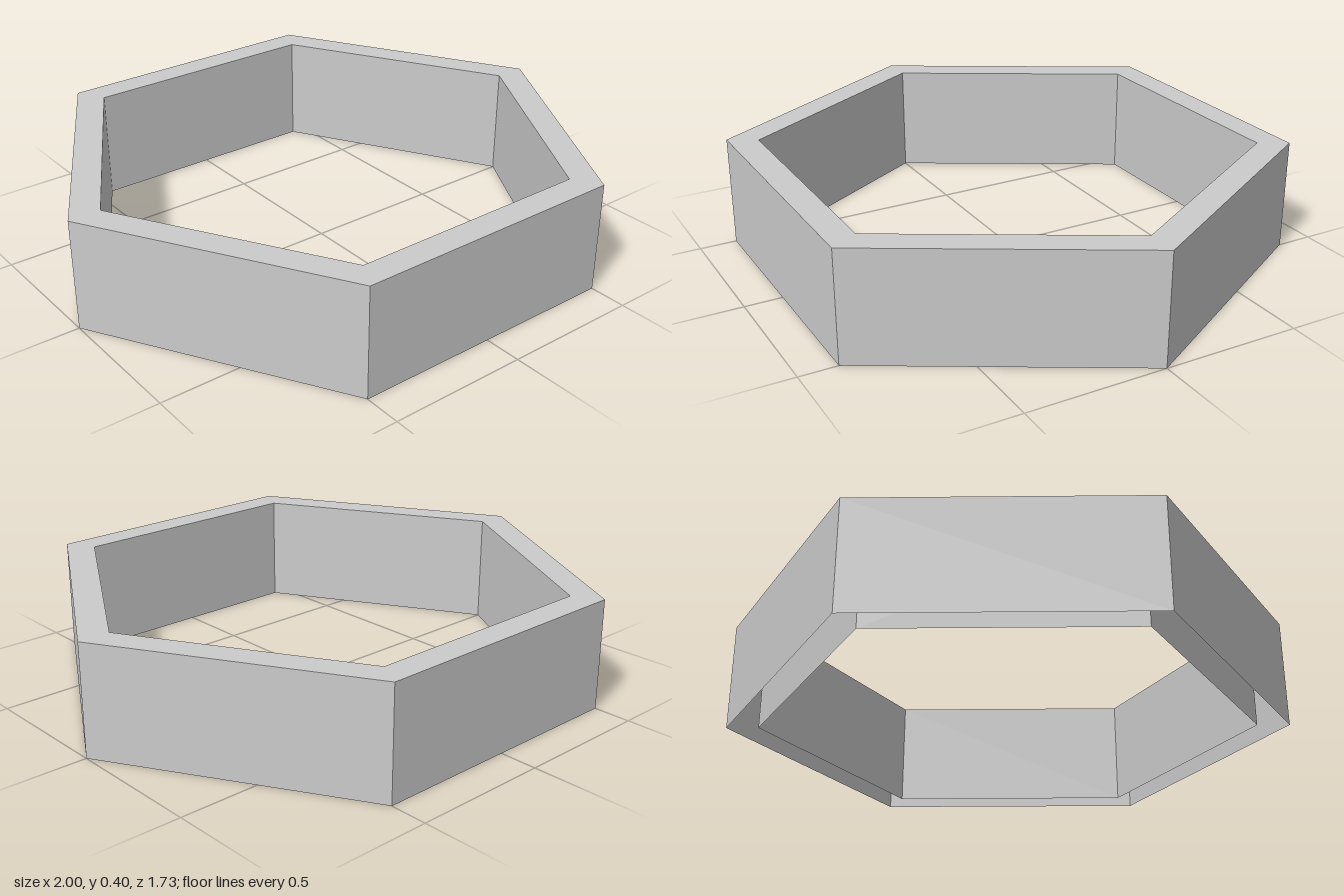
import * as THREE from 'three';

const OUTER = 1, INNER = 0.885, HEIGHT = 0.4;

export function createModel() {
  const group = new THREE.Group();
  group.name = 'hexagonalRing';

  // Hollow hexagonal frame: outer wall, flat rim, inner wall, open underneath
  const profile = [
    [OUTER, 0],
    [OUTER, HEIGHT],
    [INNER, HEIGHT],
    [INNER, 0],
  ].map(([r, y]) => new THREE.Vector2(r, y));

  const frame = new THREE.Mesh(
    new THREE.LatheGeometry(profile, 6, Math.PI / 2),
    new THREE.MeshStandardMaterial({
      color: 0xcccccc,
      flatShading: true,
      side: THREE.DoubleSide,
    })
  );
  frame.name = 'hexagonalFrame';
  group.add(frame);

  return group;
}
